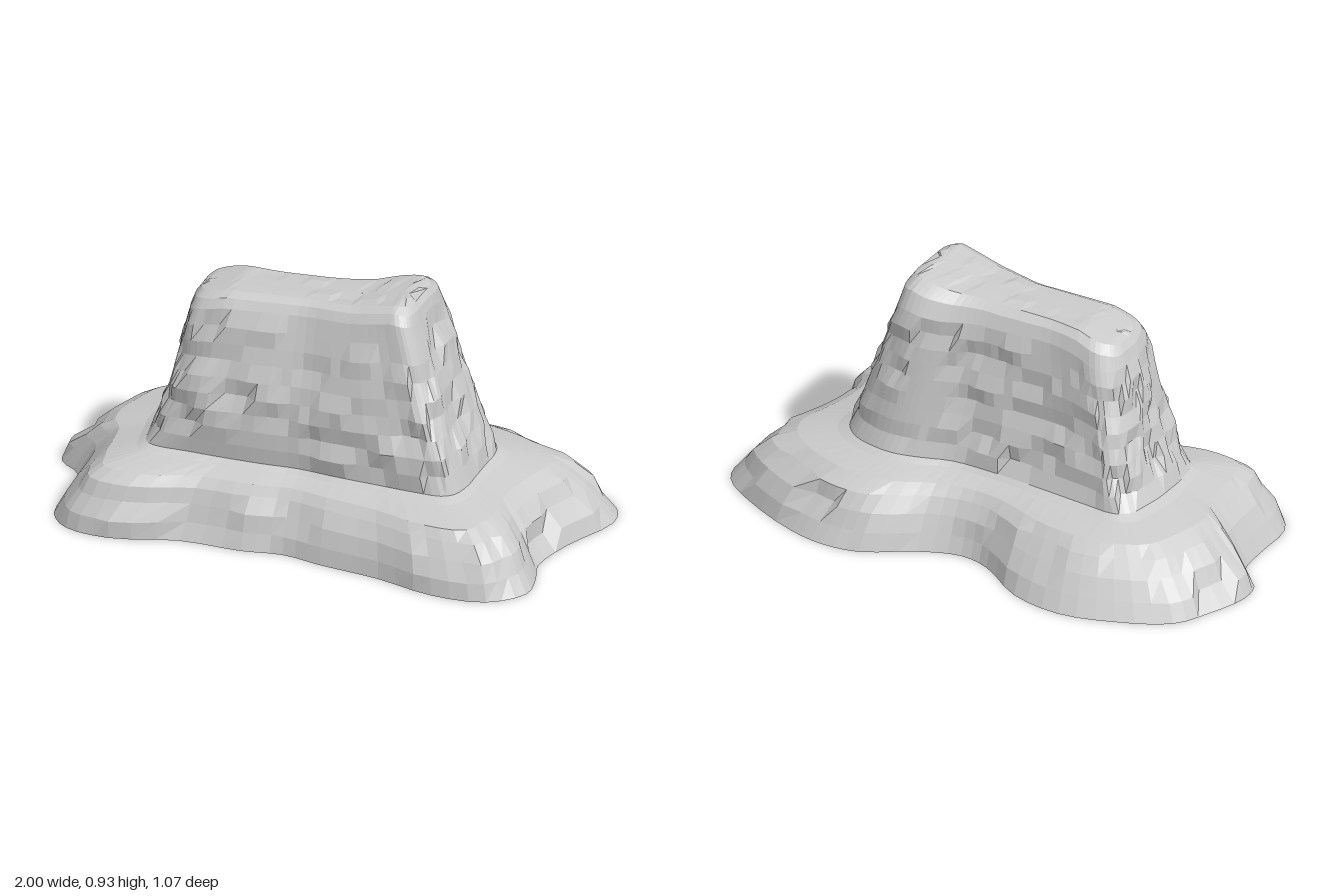
import * as THREE from 'three';

// Matching ground outlines as x, z pairs, counterclockwise from +x seen from above
const FOOT = [
  1, -.22, .97, -.33, .84, -.42, .6, -.515, .46, -.535, .32, -.51, .15, -.4, 0, -.34,
  -.12, -.36, -.3, -.465, -.5, -.49, -.7, -.43, -.88, -.33, -.95, -.2, -1, -.05, -.985, .04,
  -.9, .11, -.88, .25, -.87, .42, -.79, .51, -.62, .53, -.38, .46, -.15, .455, 0, .43,
  .15, .455, .38, .48, .6, .53, .8, .51, .91, .4, .9, .28, .87, .18, .91, 0];
const COLLAR = [
  .6, -.1, .58, -.16, .52, -.215, .42, -.24, .34, -.24, .25, -.215, .14, -.175, 0, -.165,
  -.12, -.165, -.28, -.17, -.42, -.175, -.53, -.175, -.58, -.14, -.6, -.06, -.61, .02, -.61, .08,
  -.61, .13, -.6, .2, -.58, .26, -.54, .28, -.42, .28, -.28, .28, -.13, .275, 0, .265,
  .13, .275, .28, .28, .44, .285, .54, .28, .58, .25, .6, .17, .6, .1, .6, 0];
const RIM = [
  .4, -.09, .39, -.14, .36, -.17, .29, -.18, .23, -.16, .16, -.125, .08, -.1, 0, -.09,
  -.09, -.08, -.2, -.07, -.32, -.08, -.4, -.09, -.45, -.06, -.47, -.01, -.47, .04, -.47, .07,
  -.47, .1, -.46, .14, -.44, .19, -.4, .215, -.31, .22, -.2, .21, -.1, .2, 0, .19,
  .1, .2, .2, .21, .3, .215, .36, .215, .39, .19, .4, .14, .4, .09, .4, 0];
const COLS = 96;
const { lerp, clamp, smoothstep } = THREE.MathUtils;

function outline(pairs) {
  const pts = [];
  for (let i = 0; i < pairs.length; i += 2) pts.push(new THREE.Vector3(pairs[i], 0, pairs[i + 1]));
  const curve = new THREE.CatmullRomCurve3(pts, true);
  return Array.from({ length: COLS }, (_, j) => curve.getPoint(j / COLS));
}

// Seeded value between -1 and 1 for a cell
function noise(a, b) {
  const s = Math.sin(a * 127.1 + b * 311.7 + 4.2) * 43758.5453;
  return (s - Math.floor(s)) * 2 - 1;
}

// Sparse chipped blocks: most cells are left untouched
function chip(row, col) {
  const n = noise(row, Math.floor(col / 3));
  return Math.abs(n) > .5 ? n : 0;
}

// Height of the sloping summit along x
function summit(x) {
  const steps = [[-.5, .8], [-.42, .845], [-.3, .873], [0, .88], [.17, .892], [.33, .925], [.42, .905]];
  for (let i = 1; i < steps.length; i++) {
    const [x0, y0] = steps[i - 1], [x1, y1] = steps[i];
    if (x <= x1) return lerp(y0, y1, Math.max(0, (x - x0) / (x1 - x0)));
  }
  return .905;
}

// The rounding reaches further down at the back
const rounding = p => 1 + clamp(-p.z / .15, 0, 1);

// Surface through closed rings of equal length, bottom to top
function loft(name, rings) {
  const pos = rings.flat().flatMap(p => [p.x, p.y, p.z]);
  const index = [];
  for (let i = 0; i < rings.length - 1; i++) {
    for (let j = 0; j < COLS; j++) {
      const k = (j + 1) % COLS;
      const a = i * COLS + j, b = i * COLS + k, c = b + COLS, d = a + COLS;
      index.push(a, b, c, a, c, d);
    }
  }
  const geo = new THREE.BufferGeometry();
  geo.setAttribute('position', new THREE.Float32BufferAttribute(pos, 3));
  geo.setIndex(index);
  geo.computeVertexNormals();
  const mesh = new THREE.Mesh(geo, new THREE.MeshStandardMaterial({
    color: 0xcccccc, flatShading: true, side: THREE.DoubleSide }));
  mesh.name = name;
  return mesh;
}

export function createModel() {
  const group = new THREE.Group();
  group.name = 'rockFormation';
  const foot = outline(FOOT), collar = outline(COLLAR), rim = outline(RIM);

  // Spreading skirt: each row is height, inset, and the smaller inset of the steep front corners
  const flank = [[0, 0, 0], [.065, .12, .03], [.13, .25, .13], [.185, .4, .24],
    [.22, .56, .4], [.247, .9, .85], [.262, 1, 1]];
  const skirt = flank.map(([y, inset, steep], i) => foot.map((p, j) => {
    const rough = i > 0 && i < 4 ? .06 * chip(i, j) : 0;
    const f = lerp(inset, steep, smoothstep(p.z, .42, .54));
    return p.clone().lerp(collar[j], f + rough).setY(y);
  }));
  group.add(loft('rockSkirt', skirt));

  // Butte walls: tapering, bulged at the front and the -x end, chipped in blocks
  const ROWS = 9;
  const walls = [];
  for (let i = 0; i <= ROWS; i++) {
    const t = i / ROWS;
    walls.push(collar.map((p, j) => {
      const q = rim[j];
      const chipped = i > 0 && i < ROWS ? .015 * chip(i + 20, j + i) : 0;
      const middle = smoothstep(p.x, -.58, -.4) * (1 - smoothstep(p.x, .25, .45));
      const bulge = p.z > .2 ? .022 * middle * Math.sin(Math.PI * Math.pow(t, .8)) : 0;
      const x = lerp(p.x, q.x, Math.pow(t, p.x < -.5 ? .7 : 1));
      const z = lerp(p.z, q.z, Math.pow(t, p.z > 0 ? 1.4 : .7));
      const out = new THREE.Vector2(p.x * .25, p.z - .05).normalize();
      const y = lerp(.262, summit(q.x) - .05 * rounding(q), t);
      return new THREE.Vector3(x + out.x * chipped, y, z + bulge + out.y * chipped);
    }));
  }
  group.add(loft('butteWalls', walls));

  // Rounded summit closing to a ridge line
  const cap = [[1, 1, .05], [.97, .87, .018], [.93, .66, .002], [.88, .35, 0], [.84, 0, 0]];
  const top = cap.map(([sx, sz, drop], i) => rim.map((p, j) => {
    const rough = i === 3 ? .005 * chip(i + 50, j) : 0;
    return new THREE.Vector3(
      p.x * sx, summit(p.x * sx) - drop * rounding(p) + rough, .06 + (p.z - .06) * sz);
  }));
  group.add(loft('butteSummit', top));
  return group;
}
